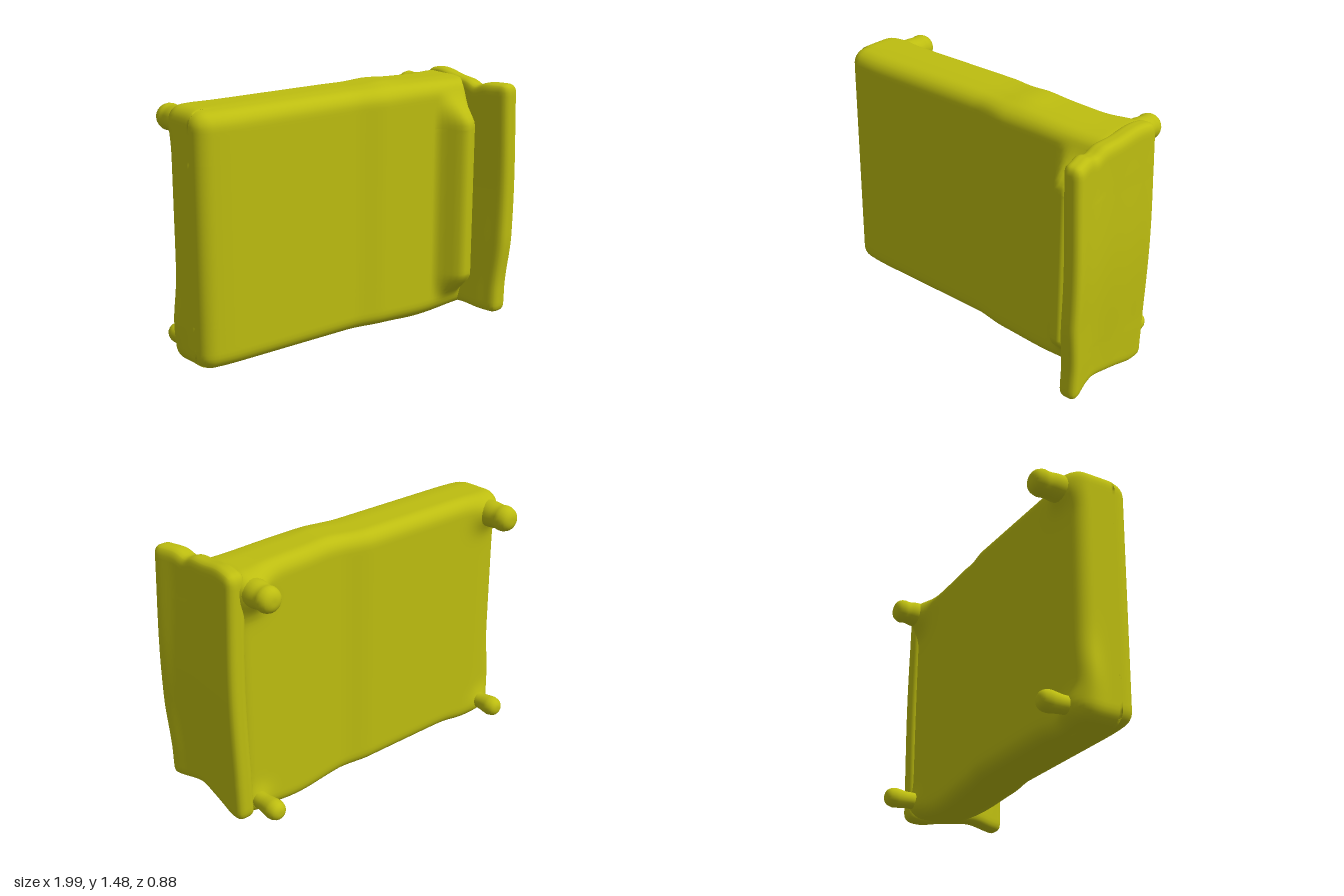
import * as THREE from 'three';
import { mergeVertices } from 'three/addons/utils/BufferGeometryUtils.js';

const material = new THREE.MeshStandardMaterial({ color: 0xbdbd10 });
const bump = (v, centre, width) => Math.exp(-(((v - centre) / width) ** 2));
const step = THREE.MathUtils.smoothstep;

// Finely divided box with rounded edges, then bent by a rule acting on each point.
function softBox(name, min, max, radius, segments, warp) {
  const size = new THREE.Vector3().subVectors(max, min);
  const centre = new THREE.Vector3().addVectors(min, max).multiplyScalar(0.5);
  const inner = size.clone().multiplyScalar(0.5).subScalar(radius);
  const outer = inner.clone().negate();
  const box = new THREE.BoxGeometry(size.x, size.y, size.z, ...segments);
  box.deleteAttribute('normal');
  box.deleteAttribute('uv');
  const geometry = mergeVertices(box);
  const pos = geometry.attributes.position;
  const p = new THREE.Vector3(), core = new THREE.Vector3();
  for (let i = 0; i < pos.count; i++) {
    p.fromBufferAttribute(pos, i);
    core.copy(p).clamp(outer, inner);
    p.sub(core).setLength(radius).add(core).add(centre);
    warp(p);
    pos.setXYZ(i, p.x, p.y, p.z);
  }
  geometry.computeVertexNormals();
  const mesh = new THREE.Mesh(geometry, material);
  mesh.name = name;
  return mesh;
}

// Knobbly foot pointing backwards; its root is sunk into the mattress.
function foot(name, x, y, length, radius, neck) {
  const profile = [[neck, -0.2], [neck, 0.1], [neck, 0.35], [0.95, 0.58], [1, 0.75], [0.8, 0.92], [0.4, 1], [0, 1.01]];
  const curve = new THREE.SplineCurve(profile.map(([r, t]) => new THREE.Vector2(r * radius, t * length)));
  const points = curve.getPoints(20);
  points[points.length - 1].x = 0;
  const geometry = new THREE.LatheGeometry(points, 20);
  geometry.rotateX(-Math.PI / 2);
  const mesh = new THREE.Mesh(geometry, material);
  mesh.name = name;
  mesh.position.set(x, y, -0.21);
  return mesh;
}

export function createModel() {
  const group = new THREE.Group();
  group.name = 'bed';
  const v = (x, y, z) => new THREE.Vector3(x, y, z);

  // Mattress and base, standing on edge, with the pillow swelling out of its front
  group.add(softBox('mattress', v(-0.97, 0.045, -0.245), v(0.93, 1.472, 0.12), 0.08, [90, 60, 20], (p) => {
    const { x, y, z } = p;
    const front = step(z, -0.05, 0.12), back = step(-z, 0.08, 0.2);
    p.z += 0.028 * step(x, 0.02, 0.25) - 0.018 * bump(x, -0.97, 0.12) * Math.sign(z);

    // pillow crest and the furrow behind it
    const crest = step(x, 0.6, 0.73) - 0.7 * step(x, 0.78, 0.84);
    p.z += 0.14 * front * crest * step(y, 0.1, 0.3) * step(1.43 - y, 0, 0.2);

    // swollen roots of the feet
    p.z -= back * 0.09 * bump(x, 0.83, 0.1) * bump(y, 1.37, 0.1);
    p.z -= back * 0.06 * bump(x, -0.85, 0.1) * bump(y, 1.37, 0.09);
    p.z -= back * 0.03 * (bump(x, 0.83, 0.08) + bump(x, -0.86, 0.08)) * bump(y, 0.12, 0.08);

    // uneven edges
    if (y < 0.3) {
      p.y -= (0.04 - 0.025 * front) * bump(x, 0.55, 0.24) + 0.025 * back * bump(x, -0.75, 0.12);
      p.y += 0.015 * front;
    }
    if (y > 1.2) p.y += 0.012 * bump(x, 0.3, 0.12) * (1 - front) - 0.015 * front - 0.008 * step(x, 0.45, 0.8);
    if (x < -0.85) p.x -= 0.025 * bump(y, 0.27, 0.17) * back;
  }));

  // Headboard, slightly dished, with a lip curling outward along its front edge
  group.add(softBox('headboard', v(0.845, 0.055, -0.235), v(0.96, 1.455, 0.435), 0.045, [14, 60, 40], (p) => {
    const { y, z } = p;
    const across = THREE.MathUtils.clamp((z + 0.235) / 0.67, 0, 1);
    p.x += 0.025 * bump(y, 0.8, 0.55) - 0.008;
    p.x += 0.015 * bump(z, -0.22, 0.12) + 0.025 * bump(z, 0.42, 0.1) - 0.02 * bump(z, 0.18, 0.15);
    p.z -= 0.03 * step(0.55 - y, 0, 0.35) * across;
    if (y > 1.2) p.y += 0.03 * bump(z, -0.12, 0.14) - 0.025 * bump(z, 0.22, 0.05);
    if (y < 0.3) p.y += 0.015 * bump(z, 0.2, 0.1) - 0.03 * bump(z, -0.14, 0.12);
  }));

  // Four feet on the back
  group.add(foot('upperFootRight', -0.85, 1.365, 0.23, 0.075, 1.02));
  group.add(foot('upperFootLeft', 0.83, 1.365, 0.2, 0.072, 1.05));
  group.add(foot('lowerFootRight', -0.86, 0.125, 0.2, 0.058, 0.85));
  group.add(foot('lowerFootLeft', 0.83, 0.13, 0.2, 0.058, 0.85));
  return group;
}
